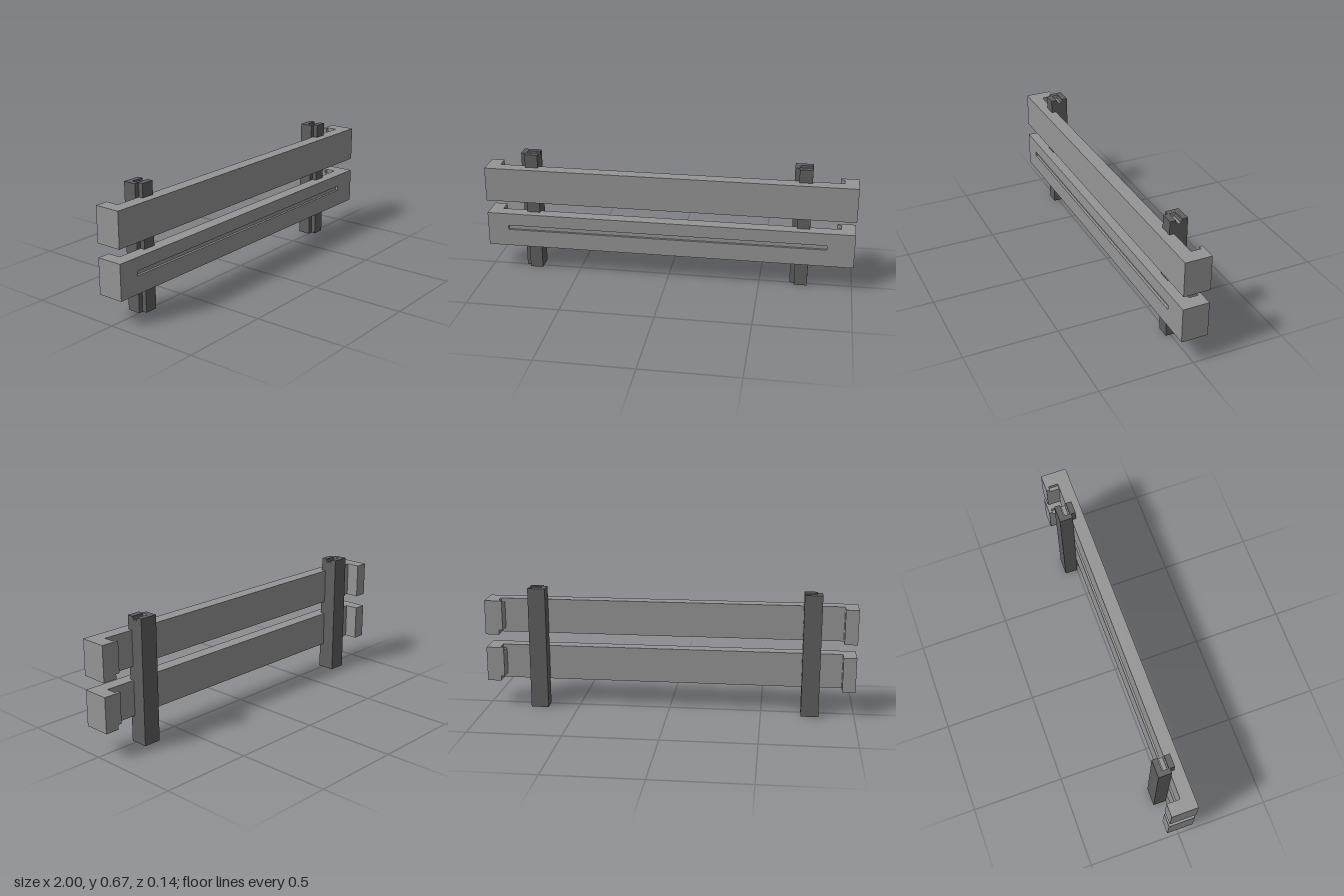
import * as THREE from 'three';

const light = new THREE.MeshStandardMaterial({ color: 0x959595 });
light.name = 'light grey';
const dark = new THREE.MeshStandardMaterial({ color: 0x5f5f5f });
dark.name = 'dark grey';

const shapeOf = (pts) => new THREE.Shape(pts.map(([x, y]) => new THREE.Vector2(x, y)));

// Extrude a plan outline given as [x, z] from height y0 to y1
function prism(name, pts, y0, y1, material) {
  const shape = shapeOf(pts.map(([x, z]) => [x, -z]));
  const geo = new THREE.ExtrudeGeometry(shape, { depth: y1 - y0, bevelEnabled: false });
  geo.rotateX(-Math.PI / 2);
  geo.translate(0, y0, 0);
  const mesh = new THREE.Mesh(geo, material);
  mesh.name = name;
  return mesh;
}

// Box given by its extents
function box(name, [x0, x1], [y0, y1], [z0, z1], material) {
  const geo = new THREE.BoxGeometry(x1 - x0, y1 - y0, z1 - z0);
  geo.translate((x0 + x1) / 2, (y0 + y1) / 2, (z0 + z1) / 2);
  const mesh = new THREE.Mesh(geo, material);
  mesh.name = name;
  return mesh;
}

// Rail with a return at each end; the +x return has a notched lip
function makeRail(name, y0, y1, grooved) {
  const rail = new THREE.Group();
  rail.name = name;
  const front = grooved ? 0.058 : 0.071;
  rail.add(prism('beam', [
    [-1, front], [1, front], [1, -0.071], [0.925, -0.071], [0.925, 0],
    [-0.93, 0], [-0.93, -0.071], [-1, -0.071],
  ], y0, y1, light));
  rail.add(box('lipBack', [0.905, 0.925], [y0 + 0.025, y1], [-0.071, -0.053], light));
  rail.add(box('lipFront', [0.905, 0.925], [y0 + 0.025, y1 - 0.02], [-0.053, 0], light));
  if (grooved) {
    // Front face with a long shallow slot
    const face = shapeOf([[-1, y0], [1, y0], [1, y1], [-1, y1]]);
    face.holes.push(new THREE.Path(
      [[-0.885, 0.24], [-0.885, 0.265], [0.855, 0.265], [0.855, 0.24]].map(([x, y]) => new THREE.Vector2(x, y)),
    ));
    const geo = new THREE.ExtrudeGeometry(face, { depth: 0.071 - front, bevelEnabled: false });
    geo.translate(0, 0, front);
    const mesh = new THREE.Mesh(geo, light);
    mesh.name = 'slottedFace';
    rail.add(mesh);
  }
  return rail;
}

// Post with a stepped front corner and a stepped notch in its top, open to +x
function makePost(name, x) {
  const post = new THREE.Group();
  post.name = name;
  const w = 0.095, step = 0.025, back = -0.071, top = 0.667;
  const outline = (notch) => [
    [0, back], [w, back], ...notch, [w, 0.025], [step, 0.025], [step, 0], [0, 0],
  ];
  const notch = (z0, z1) => [[w, z0], [step, z0], [step, z1], [w, z1]];
  post.add(prism('shaft', outline([]), 0, 0.645, dark));
  post.add(prism('lowerCap', outline(notch(-0.034, -0.014)), 0.645, 0.654, dark));
  post.add(prism('upperCap', outline(notch(-0.041, -0.007)), 0.654, top, dark));

  // Light lining of the notch
  const t = 0.002;
  post.add(box('notchFloor', [step, w], [0.645, 0.645 + t], [-0.034, -0.014], light));
  post.add(box('notchLedge', [step, w], [0.654, 0.654 + t], [-0.041, -0.034], light));
  post.add(box('notchLedge', [step, w], [0.654, 0.654 + t], [-0.014, -0.007], light));
  post.add(box('notchWall', [step, step + t], [0.645, 0.654], [-0.034, -0.014], light));
  post.add(box('notchWall', [step, step + t], [0.654, top], [-0.041, -0.007], light));
  post.position.x = x;
  return post;
}

export function createModel() {
  const group = new THREE.Group();
  group.name = 'railBarrier';
  group.add(makeRail('upperRail', 0.407, 0.595, false));
  group.add(makeRail('lowerRail', 0.145, 0.334, true));
  group.add(makePost('rightPost', -0.81));
  group.add(makePost('leftPost', 0.665));
  return group;
}
